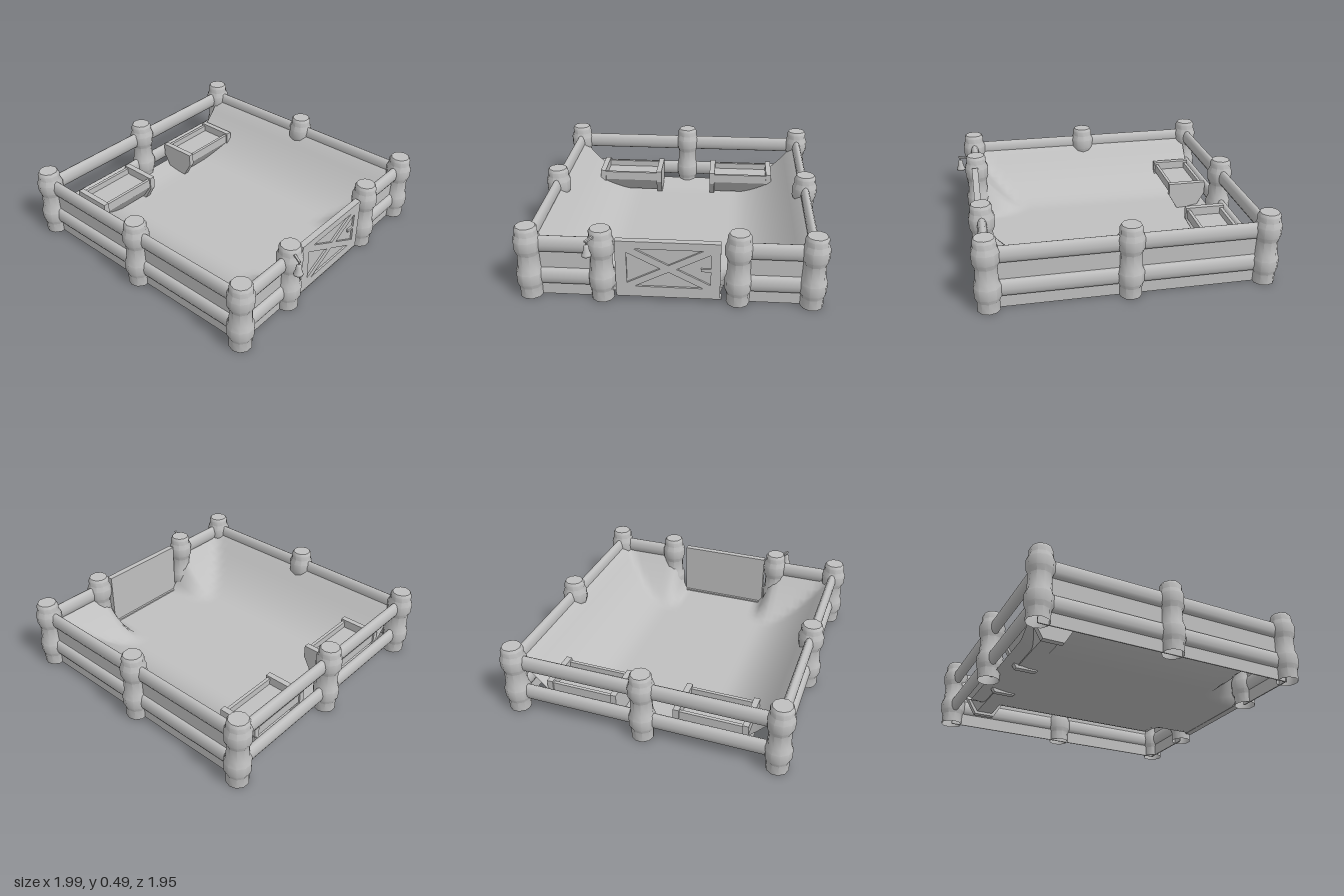
import * as THREE from 'three';
import { toCreasedNormals } from 'three/addons/utils/BufferGeometryUtils.js';

export function createModel() {
  const model = new THREE.Group();
  model.name = 'animalPen';
  const grey = new THREE.MeshStandardMaterial({ color: 0xc0c0c0, side: THREE.DoubleSide });
  grey.name = 'plain grey';

  function add(name, geometry, parent = model, x = 0, y = 0, z = 0) {
    const mesh = new THREE.Mesh(geometry, grey);
    mesh.name = name;
    mesh.position.set(x, y, z);
    parent.add(mesh);
    return mesh;
  }
  const box = (name, w, h, d, x, y, z, parent) => add(name, new THREE.BoxGeometry(w, h, d), parent, x, y, z);
  const points = (list) => list.map(([a, b]) => new THREE.Vector2(a, b));
  const clamp = THREE.MathUtils.clamp;

  const L = -0.91, M = -0.03, R = 0.85, B = -0.89, F = 0.88;

  // Posts, bulging where the rails meet them
  const postShape = toCreasedNormals(new THREE.LatheGeometry(points([
    [0.073, 0], [0.073, 0.07], [0.086, 0.1], [0.088, 0.17], [0.074, 0.205], [0.071, 0.3],
    [0.086, 0.335], [0.088, 0.4], [0.074, 0.435], [0.074, 0.47], [0.063, 0.49], [0, 0.49],
  ]), 10), 0.7);
  const posts = [[L, B], [M, B], [R, B], [L, F], [M, F], [R, F], [L, 0], [R, -0.43], [R, 0.42]];
  for (const [x, z] of posts) add('post', postShape, model, x, 0, z);

  // Two oval rails along each run of fence
  const runs = [[L, B, R, B], [L, F, R, F], [L, B, L, F], [R, B, R, -0.43], [R, 0.42, R, F]];
  for (const [x0, z0, x1, z1] of runs) {
    const length = Math.hypot(x1 - x0, z1 - z0);
    const rail = new THREE.CylinderGeometry(1, 1, length, 12, 1, true);
    rail.rotateZ(Math.PI / 2);
    rail.scale(1, 0.057, 0.031);
    if (x0 === x1) rail.rotateY(Math.PI / 2);
    for (const y of [0.14, 0.368]) add('rail', rail, model, (x0 + x1) / 2, y, (z0 + z1) / 2);
  }

  // Boards behind the rails on the three banked sides
  box('backBoard', R - L, 0.37, 0.008, (L + R) / 2, 0.185, B + 0.008);
  box('frontBoard', R - L, 0.37, 0.008, (L + R) / 2, 0.185, F - 0.008);
  box('sideBoard', 0.008, 0.37, 0.46, R - 0.008, 0.185, -0.66);
  box('sideBoard', 0.008, 0.37, 0.46, R - 0.008, 0.185, 0.65);

  // Ground, level in the middle and banked up against the boards
  const ground = new THREE.PlaneGeometry(1.72, 1.75, 32, 40);
  ground.rotateX(-Math.PI / 2);
  ground.translate(-0.02, 0, -0.005);
  const p = ground.attributes.position;
  for (let i = 0; i < p.count; i++) {
    const x = p.getX(i), z = p.getZ(i);
    const ends = 0.34 * Math.pow(clamp((Math.abs(z) - 0.38) / 0.48, 0, 1), 1.9);
    const gateSide = THREE.MathUtils.smoothstep(Math.abs(z), 0.31, 0.42);
    const corner = 0.3 * gateSide * Math.pow(clamp((x - 0.52) / 0.32, 0, 1), 1.4);
    const left = 0.03 * clamp((-0.7 - x) / 0.18, 0, 1);
    p.setY(i, 0.03 + Math.max(ends, corner, left));
  }
  ground.computeVertexNormals();
  add('ground', ground);

  // Feeding troughs: shaped end boards, sloping sides and a filled inside
  function trough(z) {
    const group = new THREE.Group();
    group.name = 'trough';
    group.position.set(-0.73, 0, z);
    model.add(group);
    const endShape = new THREE.Shape(points([
      [-0.07, 0.02], [0.07, 0.02], [0.14, 0.14], [0.14, 0.23], [-0.14, 0.23], [-0.14, 0.14],
    ]));
    const end = new THREE.ExtrudeGeometry(endShape, { depth: 0.04, bevelEnabled: false });
    add('troughEnd', end, group, 0, 0, -0.245);
    add('troughEnd', end, group, 0, 0, 0.205);
    const bodyShape = new THREE.Shape(points([
      [-0.055, 0.04], [0.055, 0.04], [0.13, 0.15], [0.13, 0.215], [0.108, 0.215], [0.108, 0.17],
      [-0.108, 0.17], [-0.108, 0.215], [-0.13, 0.215], [-0.13, 0.15],
    ]));
    add('troughBody', new THREE.ExtrudeGeometry(bodyShape, { depth: 0.41, bevelEnabled: false }), group, 0, 0, -0.205);
  }
  trough(-0.442);
  trough(0.435);

  // Gate: plain backing with a cross-braced frame on the outside
  const gate = new THREE.Group();
  gate.name = 'gate';
  model.add(gate);
  box('gatePanel', 0.03, 0.38, 0.65, 0.857, 0.233, 0.005, gate);
  const frame = new THREE.Shape(points([[-0.33, 0.043], [0.32, 0.043], [0.32, 0.423], [-0.33, 0.423]]));
  const gaps = [
    [[-0.26, 0.13], [-0.26, 0.345], [-0.05, 0.237]], [[0.26, 0.13], [0.26, 0.345], [0.05, 0.237]],
    [[-0.213, 0.372], [0.213, 0.372], [0, 0.262]], [[-0.213, 0.105], [0.213, 0.105], [0, 0.214]],
  ];
  for (const gap of gaps) frame.holes.push(new THREE.Path(points(gap)));
  const frameShape = new THREE.ExtrudeGeometry(frame, { depth: 0.013, bevelEnabled: false });
  frameShape.rotateY(Math.PI / 2);
  add('gateFrame', frameShape, gate, 0.872, 0, 0);
  box('gateLatch', 0.013, 0.02, 0.065, 0.879, 0.237, -0.232, gate);
  for (const y of [0.075, 0.4]) box('gateHinge', 0.02, 0.03, 0.04, 0.86, y, 0.34, gate);
  box('gateSill', 0.05, 0.012, 0.66, 0.855, 0.034, 0, gate);

  // Bell hanging from a bracket on the gate post
  const bell = new THREE.Group();
  bell.name = 'bell';
  bell.position.set(0.965, 0, 0.485);
  model.add(bell);
  add('bellBody', new THREE.LatheGeometry(points([
    [0, 0.37], [0.024, 0.368], [0.031, 0.36], [0.029, 0.372], [0.02, 0.395], [0.017, 0.425], [0.01, 0.434], [0, 0.436],
  ]), 12), bell);
  add('bellLink', new THREE.CylinderGeometry(0.005, 0.005, 0.03, 6), bell, 0, 0.445, 0);
  const bracket = box('bellBracket', 0.1, 0.012, 0.014, -0.035, 0.459, -0.019, bell);
  bracket.rotation.y = -0.5;

  return model;
}
